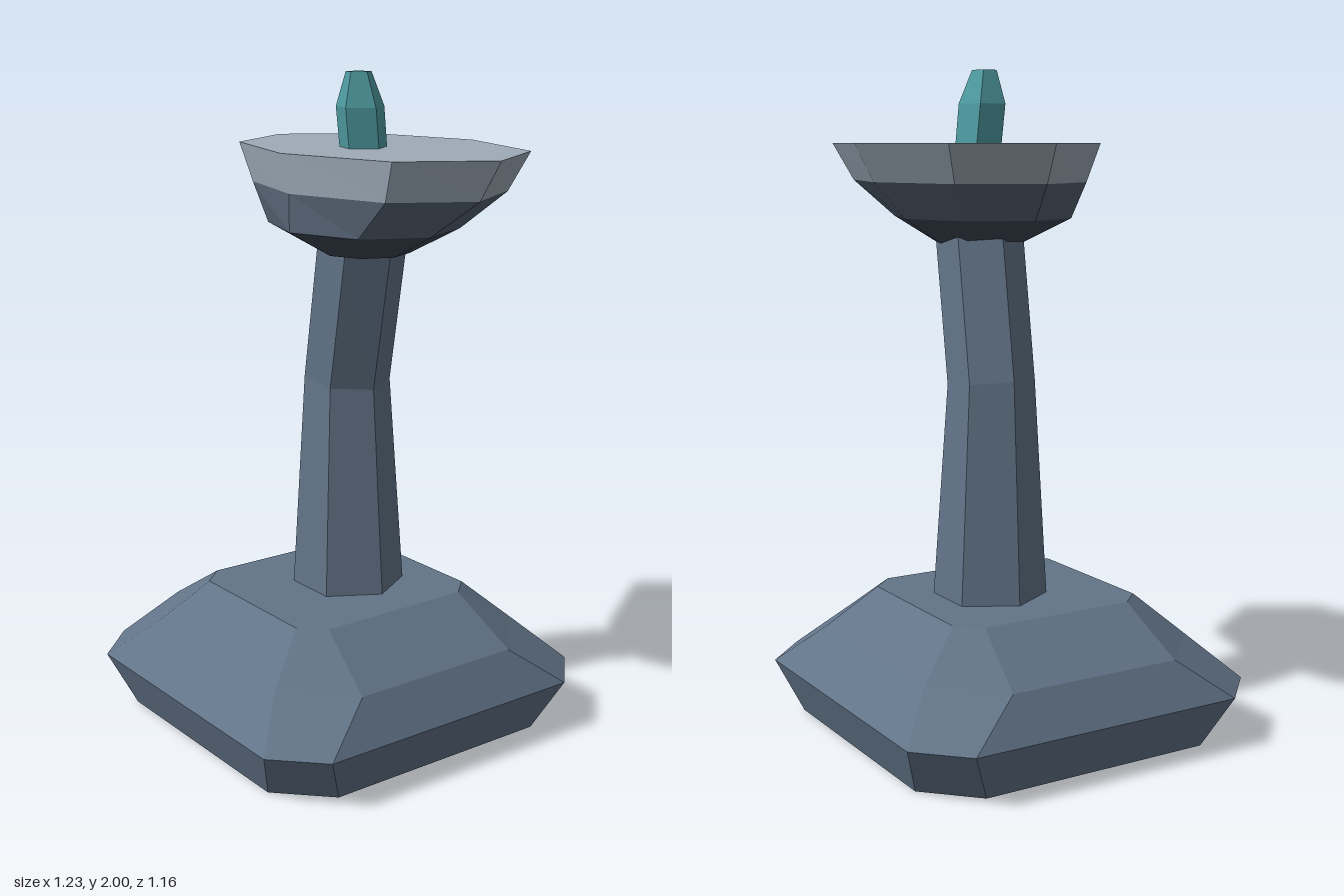
import * as THREE from 'three';

const material = (name, color) => {
  const m = new THREE.MeshStandardMaterial({ color, flatShading: true });
  m.name = name;
  return m;
};

// Elliptical ring of corners; tilt lowers the +x side
function ring(sides, cx, y, cz, rx, rz = rx, tilt = 0) {
  return Array.from({ length: sides }, (_, i) => {
    const a = (i / sides) * Math.PI * 2;
    const dx = Math.cos(a) * rx;
    return new THREE.Vector3(cx + dx, y - dx * tilt, cz + Math.sin(a) * rz);
  });
}

// Rectangle with cut corners: half sizes hx, hz and where the cuts begin
function cutRect(cx, y, hx, cutX, hz, cutZ) {
  return [[hx, -cutZ], [hx, cutZ], [cutX, hz], [-cutX, hz],
    [-hx, cutZ], [-hx, -cutZ], [-cutX, -hz], [cutX, -hz]]
    .map(([x, z]) => new THREE.Vector3(cx + x, y, z));
}

// Skin a stack of rings from bottom to top, with optional caps
function loft(name, rings, mat, capBottom = true, capTop = true) {
  const points = [];
  const n = rings[0].length;
  for (let r = 0; r < rings.length - 1; r++) {
    const lo = rings[r], hi = rings[r + 1];
    for (let i = 0; i < n; i++) {
      const j = (i + 1) % n;
      points.push(lo[i], hi[i], hi[j], lo[i], hi[j], lo[j]);
    }
  }
  const bottom = rings[0], top = rings[rings.length - 1];
  for (let i = 1; i < n - 1; i++) {
    if (capBottom) points.push(bottom[0], bottom[i], bottom[i + 1]);
    if (capTop) points.push(top[0], top[i + 1], top[i]);
  }
  const geometry = new THREE.BufferGeometry().setFromPoints(points);
  geometry.computeVertexNormals();
  const mesh = new THREE.Mesh(geometry, mat);
  mesh.name = name;
  return mesh;
}

export function createModel() {
  const slate = material('slate', 0x627488);
  const shadeSlate = material('deep slate', 0x566474);
  const darkSlate = material('dark slate', 0x3c4855);
  const paleStone = material('pale stone', 0x9eacb9);
  const teal = material('teal crystal', 0x4f9ca2);
  const group = new THREE.Group();
  group.name = 'pedestal';

  // Faceted foot with a dark underside
  const bx = -0.027;
  const sole = cutRect(bx, 0, 0.518, 0.373, 0.518, 0.373);
  group.add(loft('base', [
    sole,
    cutRect(bx, 0.155, 0.587, 0.45, 0.582, 0.445),
    cutRect(bx, 0.28, 0.507, 0.325, 0.46, 0.28),
    cutRect(bx, 0.41, 0.305, 0.24, 0.32, 0.25),
  ], slate, false, true));
  group.add(loft('baseUnderside', [sole], darkSlate, true, false));

  // Bent six-sided column
  group.add(loft('column', [
    ring(6, -0.025, 0.4, -0.05, 0.175),
    ring(6, -0.028, 1.07, -0.047, 0.132, 0.132, 0.11),
    ring(6, 0.068, 1.5, -0.03, 0.135, 0.132, 0.1),
  ], slate));

  // Bowl: dark underside, shoulder, then pale rim and flat top
  const belly = ring(8, 0.105, 1.56, -0.003, 0.31, 0.262);
  const shoulder = ring(8, 0.105, 1.67, -0.055, 0.453, 0.315);
  group.add(loft('bowlUnderside', [
    ring(8, 0.105, 1.48, -0.012, 0.135, 0.128),
    belly,
  ], darkSlate, true, false));
  group.add(loft('bowlShoulder', [belly, shoulder], shadeSlate, false, false));
  group.add(loft('bowlRim', [
    shoulder,
    ring(8, 0.09, 1.783, -0.08, 0.522, 0.357),
  ], paleStone, false, true));

  // Small leaning crystal
  group.add(loft('crystal', [
    ring(5, 0.08, 1.77, -0.025, 0.073),
    ring(5, 0.082, 1.9, -0.01, 0.074),
    ring(5, 0.087, 2, 0, 0.039),
  ], teal));

  return group;
}
